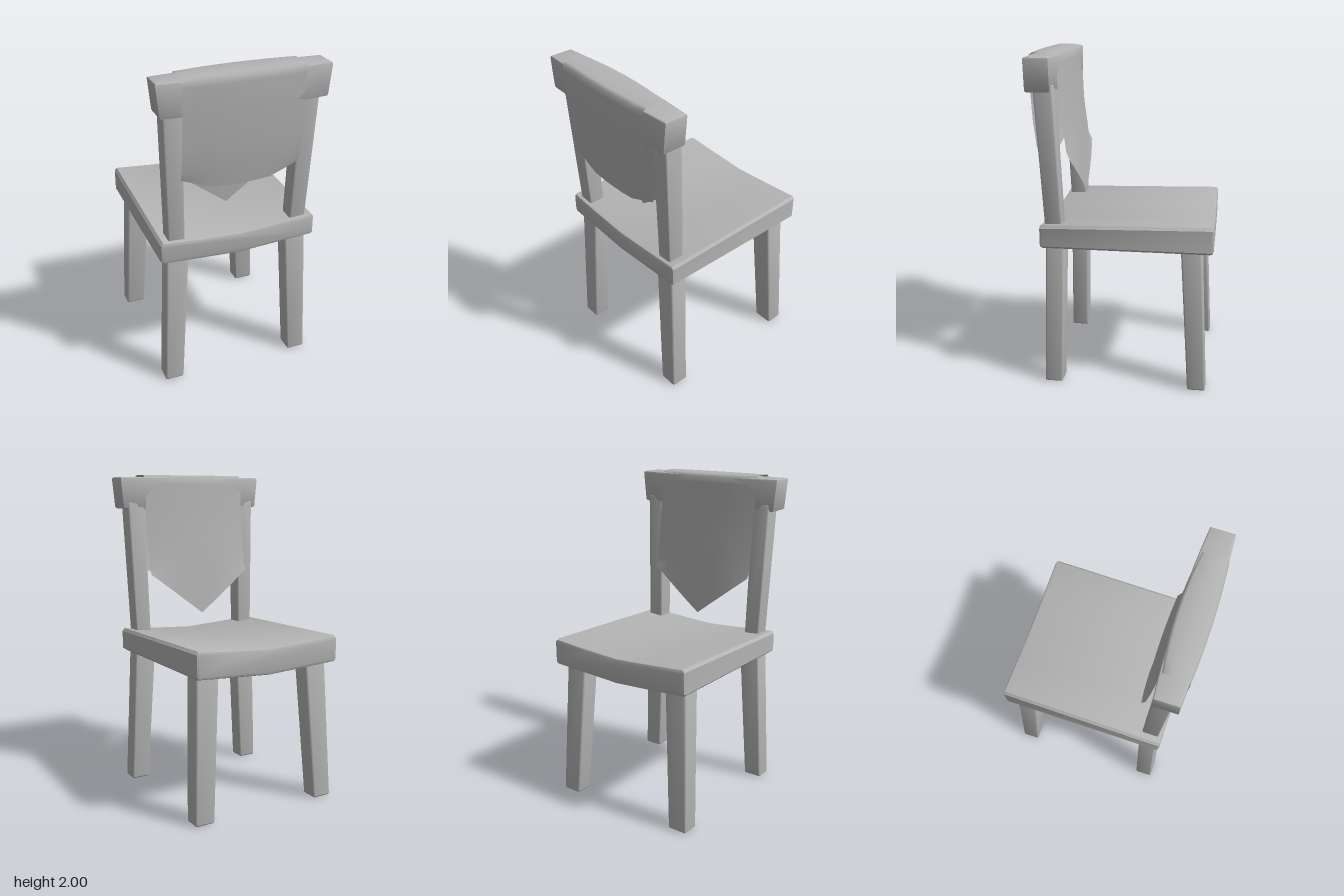
import * as THREE from 'three';
import { toCreasedNormals } from 'three/addons/utils/BufferGeometryUtils.js';
import { RoundedBoxGeometry } from 'three/addons/geometries/RoundedBoxGeometry.js';

const grey = new THREE.MeshStandardMaterial({ color: 0xb4b4b4 });
const clothGrey = grey.clone();
clothGrey.side = THREE.DoubleSide;
grey.name = 'chairGrey';
clothGrey.name = 'clothGrey';

// Moves every vertex by a rule
function warp(geometry, rule) {
  const p = geometry.attributes.position;
  const v = new THREE.Vector3();
  for (let i = 0; i < p.count; i++) {
    rule(v.fromBufferAttribute(p, i));
    p.setXYZ(i, v.x, v.y, v.z);
  }
  return geometry;
}

function part(name, geometry, material = grey) {
  const mesh = new THREE.Mesh(geometry, material);
  mesh.name = name;
  return mesh;
}

// Softly bevelled bar between two rectangles [x0, x1, z0, z1] at heights y0 and y1
function bar(name, y0, bottom, y1, top, side) {
  const g = warp(new RoundedBoxGeometry(0.12, y1 - y0, 0.12, 2, 0.012), (v) => {
    const t = v.y / (y1 - y0) + 0.5;
    const [a, b, c, d] = bottom.map((n, i) => n + (top[i] - n) * t);
    const fx = v.x / 0.12 + 0.5;
    const across = side > 0 ? fx : 1 - fx;
    v.set(side * (a + (b - a) * across), y0 + (y1 - y0) * t, c + (d - c) * (v.z / 0.12 + 0.5));
  });
  return part(name, toCreasedNormals(g, 0.6));
}

function extruded(points, depth, bevel) {
  const shape = new THREE.Shape(points.map(([x, y]) => new THREE.Vector2(x, y)));
  return new THREE.ExtrudeGeometry(shape, {
    depth: depth - 2 * bevel, bevelThickness: bevel, bevelSize: bevel, bevelOffset: -bevel, bevelSegments: 2,
  });
}

// Dished seat, rising slightly towards the sitter's knees
function seat() {
  const half = [[0, 0.845], [0.24, 0.858], [0.475, 0.871], [0.49, 0.885], [0.49, 1.005], [0.475, 1.022], [0.24, 1.005], [0, 0.991]];
  const mirrored = half.slice(1, -1).reverse().map(([x, y]) => [-x, y]);
  const g = extruded([...half, ...mirrored], 1.025, 0.018);
  g.translate(0, 0, -0.537);
  warp(g, (v) => { if (v.y > 0.93) v.y -= 0.024 * v.z; });
  return part('seat', toCreasedNormals(g, 0.5));
}

// Bowed top rail with ends that flare upwards
function topRail() {
  const front = [], back = [];
  for (let i = -4; i <= 4; i++) {
    const k = (i / 4) ** 2;
    front.push([i * 0.127, -(0.358 + 0.024 * k)]);
    back.unshift([i * 0.127, -(0.54 - 0.015 * k)]);
  }
  const g = extruded([...back.reverse(), ...front.reverse()], 0.197, 0.012);
  g.rotateX(-Math.PI / 2).translate(0, 1.8, 0);
  warp(g, (v) => { v.x *= 1 - 0.2 * (1.985 - v.y); });
  return part('topRail', toCreasedNormals(g, 0.5));
}

// Cloth hung over the rail: pointed towards the seat, shorter behind
function drapedCloth() {
  const path = [
    [0.276, 1.1], [0.299, 1.42], [0.322, 1.6], [0.341, 1.8], [0.349, 1.94], [0.355, 1.98], [0.372, 1.998],
    [0.45, 2.0], [0.525, 1.998], [0.544, 1.985], [0.551, 1.95], [0.545, 1.8], [0.533, 1.6], [0.515, 1.45], [0.496, 1.33],
  ];
  const cols = 8;
  const g = new THREE.PlaneGeometry(1, 1, cols, path.length - 1);
  warp(g, (v) => {
    const u = v.x * 2;
    const row = Math.round((0.5 - v.y) * (path.length - 1));
    const [z, y] = path[row];
    const bow = z < 0.45 ? 0.025 : -0.014;
    let edgeY = y;
    if (row === 0) edgeY = 1.1 + 0.27 * Math.abs(u);
    if (row === path.length - 1) edgeY = 1.33 + 0.07 * Math.max(0, (Math.abs(u) - 0.45) / 0.55);
    v.set(-0.012 + 0.356 * u, edgeY, z + bow * u * u * (z === 0.45 ? 0 : 1));
  });
  g.computeVertexNormals();
  return part('drapedCloth', g, clothGrey);
}

export function createModel() {
  const chair = new THREE.Group();
  chair.name = 'chair';
  chair.add(seat(), topRail(), drapedCloth());
  for (const side of [-1, 1]) {
    const label = side > 0 ? 'Left' : 'Right';
    chair.add(
      bar('kneeLeg' + label, 0, [0.36, 0.485, -0.53, -0.42], 0.9, [0.305, 0.45, -0.487, -0.363], side),
      bar('backLeg' + label, 0, [0.365, 0.482, 0.35, 0.46], 0.9, [0.31, 0.445, 0.33, 0.44], side),
      bar('backPost' + label, 0.95, [0.335, 0.435, 0.34, 0.443], 1.83, [0.348, 0.462, 0.375, 0.488], side),
    );
  }
  return chair;
}
